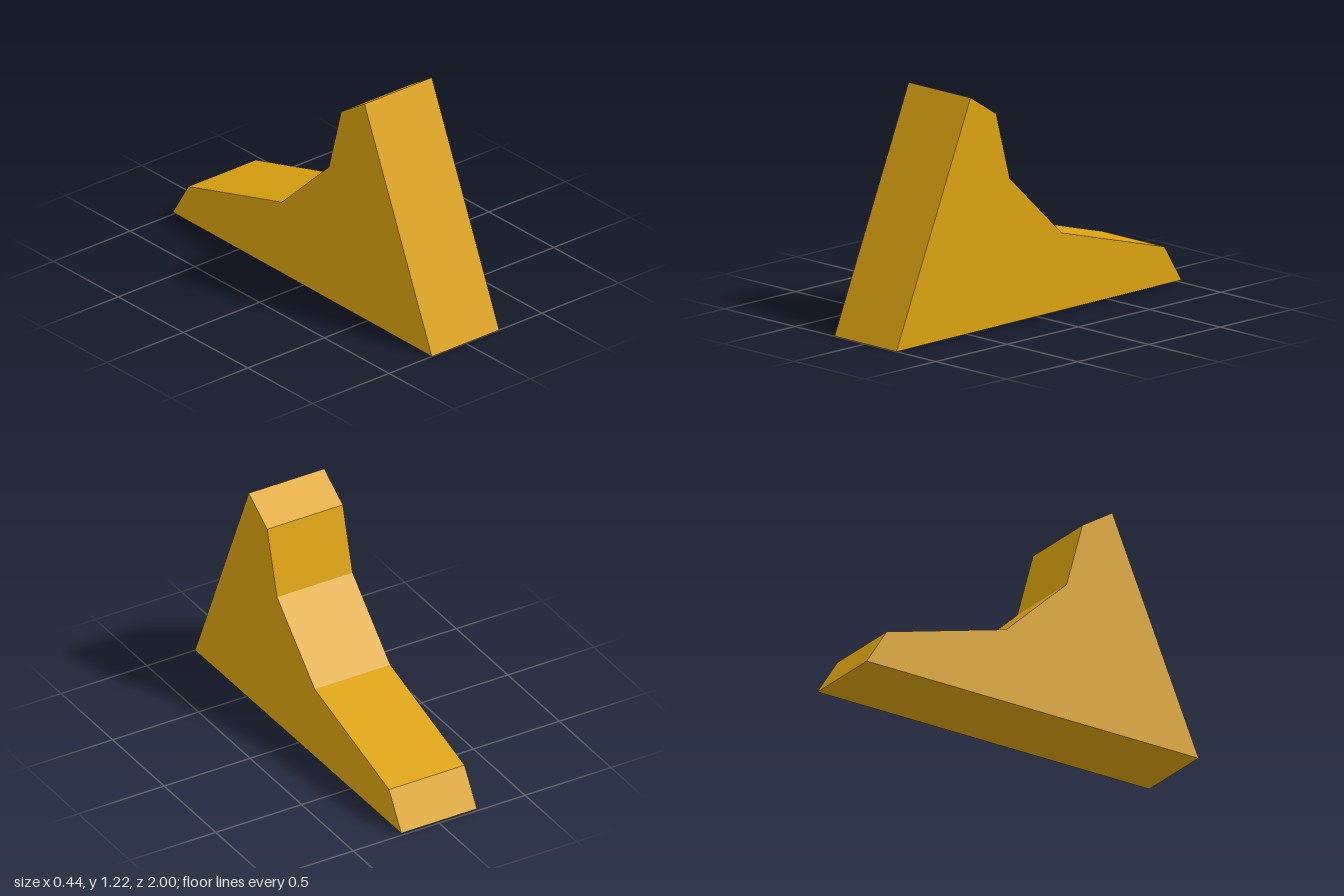
import * as THREE from 'three';

const WIDTH = 0.44;

// Side outline as [z, y], from the front toe over the peak to the back
const OUTLINE = [
  [1, 0], [0.48, 1.215], [0.3, 1.1], [0.205, 0.75],
  [-0.16, 0.405], [-0.88, 0.205], [-1, 0.012],
];

export function createModel() {
  const group = new THREE.Group();
  group.name = 'steppedWedge';

  const gold = new THREE.MeshStandardMaterial({ color: 0xdca310 });
  gold.name = 'gold';

  // Extrude the outline across the width, then turn it to face +z
  const shape = new THREE.Shape(OUTLINE.map(([z, y]) => new THREE.Vector2(-z, y)));
  const geometry = new THREE.ExtrudeGeometry(shape, { depth: WIDTH, bevelEnabled: false });
  geometry.translate(0, 0, -WIDTH / 2);
  geometry.rotateY(Math.PI / 2);

  const body = new THREE.Mesh(geometry, gold);
  body.name = 'wedgeBody';
  group.add(body);
  return group;
}
